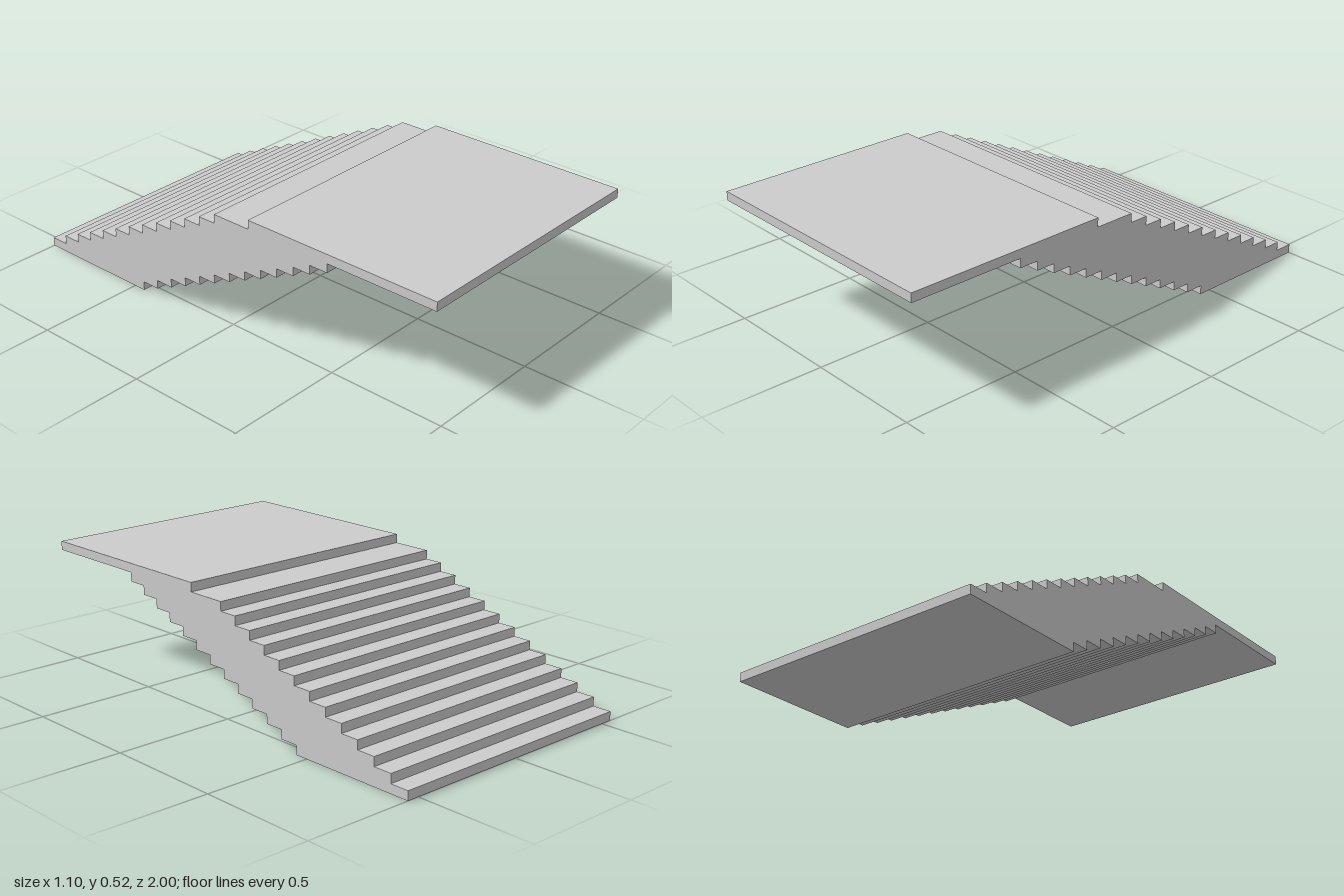
import * as THREE from 'three';

const WIDTH = 1.1, HEIGHT = 0.52, STEPS = 13;
const RISE = HEIGHT / (STEPS + 1);  // the landing is one rise thick
const RUN = 0.0805, STEP_DEPTH = 0.553;
const LANDING_BACK = 0.14, LANDING_FRONT = 1;

export function createModel() {
  const group = new THREE.Group();
  group.name = 'staircase';

  // Side profile, drawn as (z, y)
  const profile = [];
  // Stepped treads, climbing from the back
  for (let i = 0; i < STEPS; i++) {
    const z = -1 + i * RUN;
    profile.push([z, i * RISE], [z, (i + 1) * RISE]);
  }
  // Landing slab
  const slabBottom = STEPS * RISE;
  profile.push([LANDING_BACK, slabBottom], [LANDING_BACK, HEIGHT]);
  profile.push([LANDING_FRONT, HEIGHT], [LANDING_FRONT, slabBottom]);
  // Stepped underside, going back down
  for (let i = STEPS - 1; i >= 0; i--) {
    const z = -1 + i * RUN + STEP_DEPTH;
    profile.push([z, (i + 1) * RISE], [z, i * RISE]);
  }

  const shape = new THREE.Shape(profile.map(([z, y]) => new THREE.Vector2(z, y)));
  const geometry = new THREE.ExtrudeGeometry(shape, { depth: WIDTH, bevelEnabled: false });
  geometry.translate(0, 0, -WIDTH / 2);
  geometry.rotateY(-Math.PI / 2);

  const material = new THREE.MeshStandardMaterial({ color: 0xcccccc, flatShading: true });
  const stairs = new THREE.Mesh(geometry, material);
  stairs.name = 'stepsAndLanding';
  group.add(stairs);
  return group;
}
